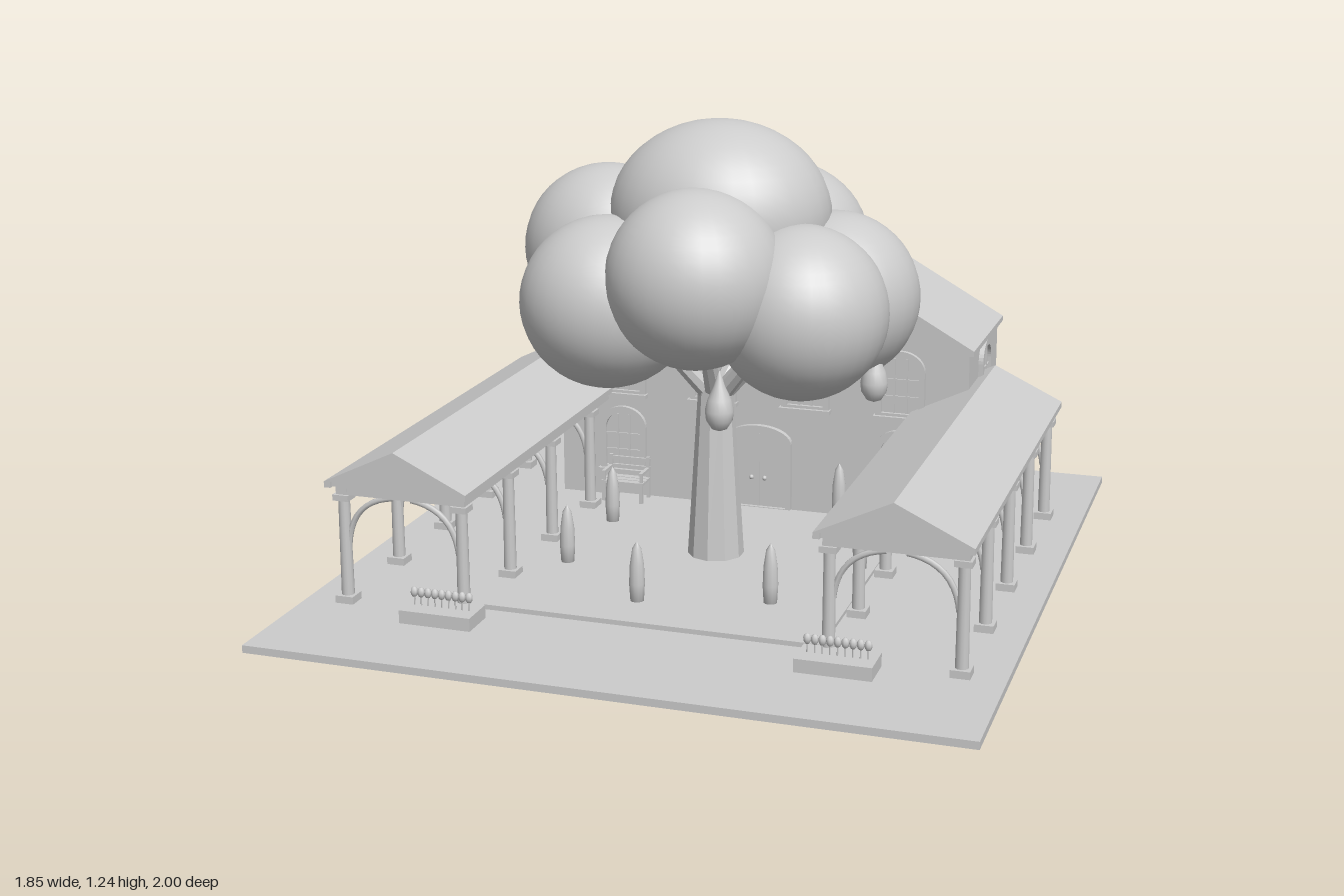
import * as THREE from 'three';

const stone = new THREE.MeshStandardMaterial({ color: 0xcccccc });
stone.name = 'pale grey';
const facetedStone = stone.clone();
facetedStone.flatShading = true;

export function createModel() {
  const root = new THREE.Group();
  root.name = 'courtyard';

  const group = (name, parent = root, x = 0, y = 0, z = 0) => {
    const g = new THREE.Group();
    g.name = name;
    g.position.set(x, y, z);
    parent.add(g);
    return g;
  };
  const add = (parent, name, geo, x = 0, y = 0, z = 0, mat = stone) => {
    const m = new THREE.Mesh(geo, mat);
    m.name = name;
    m.position.set(x, y, z);
    parent.add(m);
    return m;
  };
  // box given by its centre in x and z and its bottom in y
  const box = (parent, name, w, h, d, x, y, z) =>
    add(parent, name, new THREE.BoxGeometry(w, h, d), x, y + h / 2, z);
  const extrude = (shape, depth) =>
    new THREE.ExtrudeGeometry(shape, { depth, bevelEnabled: false, curveSegments: 10 });
  const polygon = (pts) => new THREE.Shape(pts.map(([x, y]) => new THREE.Vector2(x, y)));

  // gable roof with its ridge along z: chevron covering plus recessed gable ends
  function gableRoof(parent, w, rise, depth, fascia, x, y, z) {
    const a = w / 2, g = group('roof', parent, x, y, z);
    const t = 0.018;
    add(g, 'roofCovering', extrude(polygon([[-a, 0], [-a + t, 0], [-a + t, fascia], [0, rise - t],
      [a - t, fascia], [a - t, 0], [a, 0], [a, fascia], [0, rise], [-a, fascia]]), depth), 0, 0, -depth / 2);
    add(g, 'gable', extrude(polygon([[-a + t, 0.002], [a - t, 0.002], [a - t, fascia],
      [0, rise - t], [-a + t, fascia]]), depth - 0.014), 0, 0, -depth / 2 + 0.007);
  }

  // arched outline, w wide and h high with a shallow elliptical top
  function archShape(w, h, rise, y0 = 0, Type = THREE.Shape) {
    const s = new Type();
    s.moveTo(-w / 2, y0);
    s.lineTo(w / 2, y0);
    s.lineTo(w / 2, h - rise);
    s.absellipse(0, h - rise, w / 2, rise, 0, Math.PI, false);
    s.lineTo(-w / 2, y0);
    return s;
  }

  // arched window facing +z, origin at its bottom middle
  function windowUnit(parent, x, y, z, turn) {
    const g = group('window', parent, x, y, z);
    g.rotation.y = turn;
    const frame = archShape(0.142, 0.2, 0.06);
    frame.holes.push(archShape(0.108, 0.182, 0.05, 0.016, THREE.Path));
    add(g, 'windowFrame', extrude(frame, 0.014));
    add(g, 'windowPane', extrude(archShape(0.11, 0.184, 0.05, 0.014), 0.003));
    for (const bx of [-0.018, 0.018]) box(g, 'upright', 0.005, 0.16, 0.008, bx, 0.016, 0.004);
    for (const by of [0.062, 0.112]) box(g, 'crossbar', 0.108, 0.005, 0.008, 0, by, 0.004);
    box(g, 'windowSill', 0.152, 0.012, 0.025, 0, -0.004, 0.0125);
  }

  // ground and paved court
  box(root, 'ground', 1.85, 0.02, 2, 0, 0, 0);
  box(root, 'courtPaving', 0.9, 0.01, 0.97, 0, 0.02, 0.105);
  box(root, 'courtKerb', 0.9, 0.013, 0.01, 0, 0.02, 0.59);

  // main house
  const house = group('house');
  box(house, 'walls', 1.23, 0.52, 0.43, 0, 0.02, -0.605);
  gableRoof(house, 1.258, 0.37, 0.45, 0.015, 0, 0.535, -0.605);
  for (const y of [0.1, 0.335]) {
    for (const x of [-0.42, -0.14, 0.14, 0.42]) {
      windowUnit(house, x, y, -0.82, Math.PI);
      if (y > 0.2 || Math.abs(x) > 0.3) windowUnit(house, x, y, -0.39, 0);
    }
    for (const s of [-1, 1]) windowUnit(house, s * 0.615, y, -0.6, s * Math.PI / 2);
  }
  const door = group('door', house, 0, 0.03, -0.39);
  const doorFrame = archShape(0.2, 0.25, 0.05);
  doorFrame.holes.push(archShape(0.17, 0.235, 0.045, 0.002, THREE.Path));
  add(door, 'doorFrame', extrude(doorFrame, 0.018));
  add(door, 'doorLeaves', extrude(archShape(0.172, 0.237, 0.045), 0.007));
  box(door, 'doorMeetingStrip', 0.006, 0.225, 0.01, 0, 0, 0.005);
  for (const s of [-1, 1])
    add(door, 'doorKnob', new THREE.SphereGeometry(0.007, 10, 8), s * 0.02, 0.09, 0.012);

  for (const side of [-1, 1]) {
    // covered walk with paired posts and curved braces
    const walk = group(side < 0 ? 'rightWalk' : 'leftWalk', root, side * 0.648, 0, 0.035);
    gableRoof(walk, 0.394, 0.11, 1.31, 0.016, 0, 0.342, 0);
    for (const px of [-0.165, 0.165]) box(walk, 'longBeam', 0.03, 0.027, 1.25, px, 0.316, 0);
    for (let i = 0; i < 5; i++) {
      const z = 0.61 - i * 0.303;
      box(walk, 'crossBeam', 0.33, 0.027, 0.028, 0, 0.316, z);
      for (const s of [-1, 1]) {
        const px = s * 0.165;
        box(walk, 'postFoot', 0.05, 0.02, 0.05, px, 0.02, z);
        add(walk, 'post', new THREE.CylinderGeometry(0.015, 0.017, 0.27, 12), px, 0.17, z);
        box(walk, 'postCapital', 0.044, 0.016, 0.044, px, 0.3, z);
        const curve = new THREE.QuadraticBezierCurve3(new THREE.Vector3(px - s * 0.01, 0.18, z),
          new THREE.Vector3(px - s * 0.022, 0.3, z), new THREE.Vector3(px - s * 0.14, 0.315, z));
        add(walk, 'curvedBrace', new THREE.TubeGeometry(curve, 10, 0.008, 6));
      }
    }

    // low planter at the walk's front end
    const planter = group('planter', root, side * 0.52, 0.02, 0.7);
    box(planter, 'planterBox', 0.195, 0.035, 0.1, 0, 0, 0);
    for (let i = 0; i < 9; i++) {
      const x = -0.076 + i * 0.019;
      add(planter, 'stem', new THREE.CylinderGeometry(0.002, 0.002, 0.03, 5), x, 0.047, 0);
      add(planter, 'bloom', new THREE.SphereGeometry(0.01, 8, 6), x, 0.07, 0).scale.y = 1.4;
    }

    // slatted bench against the house
    const bench = group('bench', root, side * 0.395, 0.03, -0.33);
    for (const z of [-0.025, 0, 0.025]) box(bench, 'seatSlat', 0.13, 0.008, 0.021, 0, 0.055, z);
    for (const y of [0.085, 0.11]) box(bench, 'backRail', 0.13, 0.01, 0.007, 0, y, -0.035);
    for (const x of [-0.058, 0.058]) {
      box(bench, 'frontLeg', 0.01, 0.056, 0.01, x, 0, 0.03);
      box(bench, 'backLeg', 0.01, 0.125, 0.01, x, 0, -0.035);
      box(bench, 'armRest', 0.01, 0.008, 0.07, x, 0.085, 0);
      box(bench, 'armPost', 0.008, 0.03, 0.008, x, 0.058, 0.028);
    }
  }

  // pointed marker stones in a ring
  const stoneProfile = [[0, 0], [0.018, 0], [0.021, 0.05], [0.019, 0.1], [0.012, 0.145], [0, 0.165]]
    .map(([r, y]) => new THREE.Vector2(r, y));
  const stoneGeo = new THREE.LatheGeometry(stoneProfile, 12);
  for (const [x, z] of [[-0.085, 0.44], [0.25, 0.35], [0.41, 0.03], [0.25, -0.36],
    [-0.09, -0.36], [-0.365, -0.135], [-0.365, 0.22]])
    add(root, 'markerStone', stoneGeo, x, 0.028, z);

  // tree: trunk, limbs, rounded crown and hanging fruit
  const tree = group('tree');
  add(tree, 'trunk', new THREE.CylinderGeometry(0.048, 0.078, 0.48, 10), 0, 0.265, 0.03, facetedStone);
  const crown = [ // centre x, y, z and radii x, y, z
    [0.01, 0.98, 0.02, 0.3, 0.255, 0.27],
    [0.025, 0.86, 0.28, 0.235, 0.235, 0.235],
    [-0.245, 0.765, 0.2, 0.235, 0.23, 0.23],
    [0.275, 0.765, 0.17, 0.23, 0.23, 0.23],
    [0.31, 0.765, -0.04, 0.23, 0.23, 0.23],
    [0.11, 0.86, -0.205, 0.25, 0.235, 0.24],
    [-0.175, 0.765, -0.2, 0.23, 0.23, 0.23],
    [-0.32, 0.865, -0.02, 0.235, 0.23, 0.21],
  ];
  const ball = new THREE.SphereGeometry(1, 32, 24);
  const up = new THREE.Vector3(0, 1, 0);
  crown.forEach(([x, y, z, rx, ry, rz], i) => {
    add(tree, 'foliage', ball, x, y, z).scale.set(rx, ry, rz);
    if (i === 0) return;
    const from = new THREE.Vector3(0, 0.47, 0.03);
    const dir = new THREE.Vector3(x * 0.75, 0.72, z * 0.75).sub(from);
    const limb = add(tree, 'limb', new THREE.CylinderGeometry(0.016, 0.028, dir.length(), 8), 0, 0, 0, facetedStone);
    limb.position.copy(from).addScaledVector(dir, 0.5);
    limb.quaternion.setFromUnitVectors(up, dir.normalize());
  });
  const fruitGeo = new THREE.LatheGeometry([[0, 0], [0.02, 0.008], [0.034, 0.03], [0.037, 0.055],
    [0.03, 0.085], [0.014, 0.12], [0.005, 0.15], [0, 0.16]].map(([r, y]) => new THREE.Vector2(r, y)), 20);
  for (const [x, z] of [[0.13, 0.41], [0.44, 0.03], [-0.365, -0.2]])
    add(tree, 'fruit', fruitGeo, x, 0.5, z);

  return root;
}
